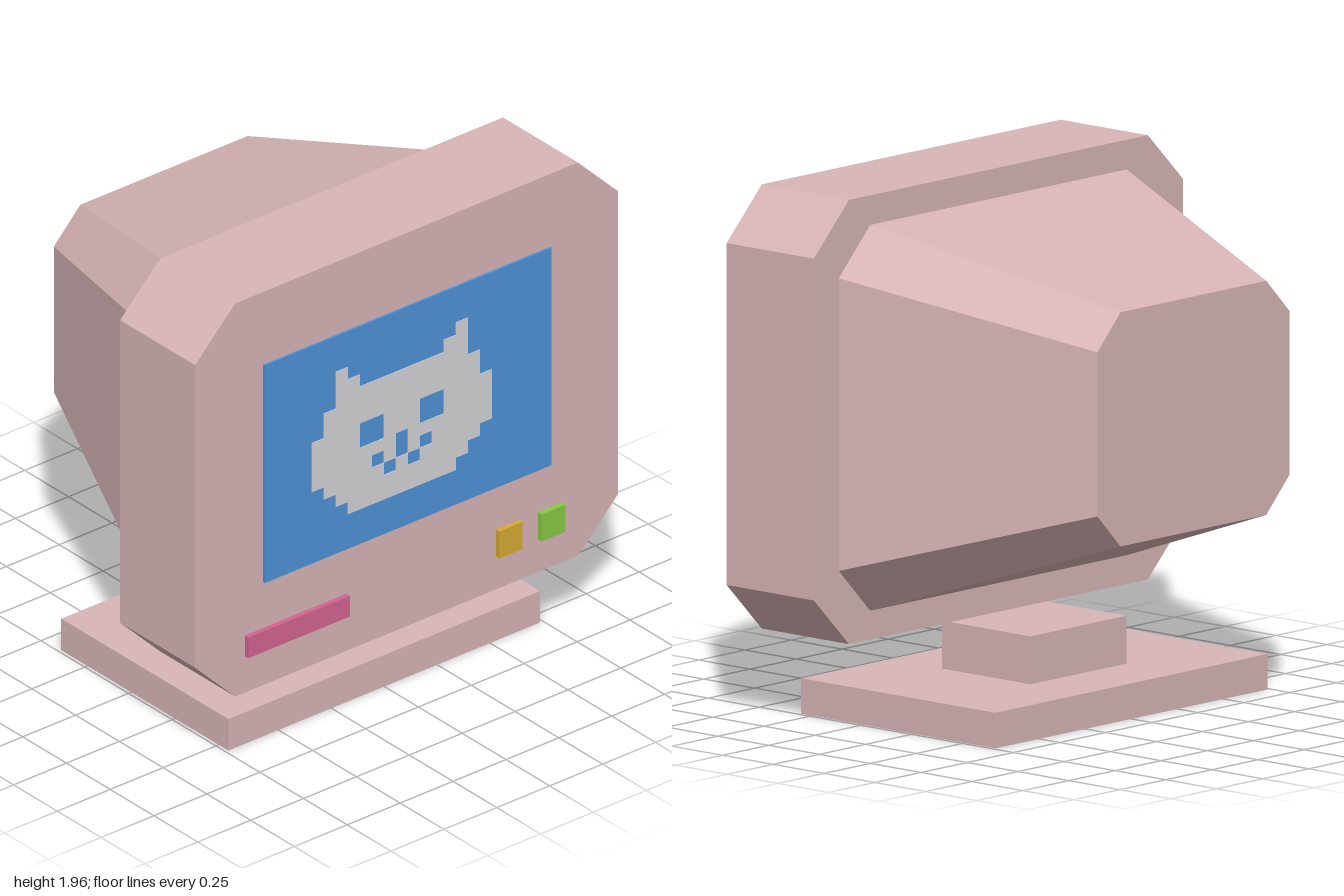
import * as THREE from 'three';
import { mergeGeometries } from 'three/addons/utils/BufferGeometryUtils.js';

const mat = (name, color) => {
  const m = new THREE.MeshStandardMaterial({ color });
  m.name = name;
  return m;
};

// Box given by its min and max on each axis
function boxGeo(x0, x1, y0, y1, z0, z1) {
  const g = new THREE.BoxGeometry(x1 - x0, y1 - y0, z1 - z0);
  return g.translate((x0 + x1) / 2, (y0 + y1) / 2, (z0 + z1) / 2);
}

// Chamfered rectangle, counter-clockwise seen from +z
function octagon(hx, y0, y1, cx, cy) {
  return [
    [hx, y0 + cy], [hx, y1 - cy], [hx - cx, y1], [cx - hx, y1],
    [-hx, y1 - cy], [-hx, y0 + cy], [cx - hx, y0], [hx - cx, y0],
  ].map(([x, y]) => new THREE.Vector2(x, y));
}

// Straight solid between a back and a front octagon
function loft(back, zBack, front, zFront) {
  const pos = [];
  const put = (p, z) => pos.push(p.x, p.y, z);
  const n = back.length;
  for (let i = 0; i < n; i++) {
    const j = (i + 1) % n;
    put(front[i], zFront); put(back[i], zBack); put(back[j], zBack);
    put(front[i], zFront); put(back[j], zBack); put(front[j], zFront);
    if (i > 0 && i < n - 1) {
      put(front[0], zFront); put(front[i], zFront); put(front[j], zFront);
      put(back[0], zBack); put(back[j], zBack); put(back[i], zBack);
    }
  }
  const g = new THREE.BufferGeometry();
  g.setAttribute('position', new THREE.Float32BufferAttribute(pos, 3));
  g.computeVertexNormals();
  return g;
}

// Pixel cat face, '#' is a lit pixel
const CAT = [
  '..#.........#..',
  '..##.......##..',
  '..###########..',
  '.#############.',
  '.#############.',
  '####..###..####',
  '####..###..####',
  '#######.#######',
  '#####.#.#.#####',
  '.#####.#.#####.',
  '..###########..',
  '...#########...',
];

function pixelGeo(rows, x0, yTop, w, h, z0, z1) {
  const parts = [];
  rows.forEach((row, r) => {
    for (const run of row.matchAll(/#+/g)) {
      const a = x0 + run.index * w;
      const y = yTop - r * h;
      parts.push(boxGeo(a, a + run[0].length * w, y - h, y, z0, z1));
    }
  });
  return mergeGeometries(parts);
}

export function createModel() {
  const body = mat('body pink', 0xd8b5b6);
  const blue = mat('screen blue', 0x4e92d8);
  const pale = mat('pixel grey', 0xd4d4d8);
  const pink = mat('slot pink', 0xd46491);
  const amber = mat('button amber', 0xd6aa32);
  const green = mat('button green', 0x8aca46);

  const group = new THREE.Group();
  group.name = 'computerMonitor';
  const add = (name, geometry, material) => {
    const mesh = new THREE.Mesh(geometry, material);
    mesh.name = name;
    group.add(mesh);
  };

  // Stand
  add('base', boxGeo(-0.737, 0.737, 0, 0.132, -0.4, 0.555), body);
  add('neck', boxGeo(-0.26, 0.26, 0.132, 0.31, -0.14, 0.295), body);

  // Housing: front frame and tapering tube cover
  const frame = octagon(1, 0.31, 1.96, 0.19, 0.19);
  add('frontFrame', loft(frame, 0.254, frame, 0.683), body);
  add('tubeCover', loft(
    octagon(0.52, 0.74, 1.61, 0.125, 0.13), -0.705,
    octagon(0.865, 0.417, 1.85, 0.17, 0.173), 0.254), body);

  // Screen and pixel face
  add('screen', boxGeo(-0.678, 0.678, 0.742, 1.655, 0.675, 0.692), blue);
  add('pixelFace', pixelGeo(CAT, -0.457, 1.507, 0.0567, 0.0515, 0.69, 0.695), pale);

  // Controls
  add('slot', boxGeo(-0.765, -0.285, 0.463, 0.55, 0.675, 0.703), pink);
  add('amberButton', boxGeo(0.422, 0.532, 0.448, 0.562, 0.675, 0.703), amber);
  add('greenButton', boxGeo(0.62, 0.733, 0.448, 0.562, 0.675, 0.705), green);

  return group;
}
